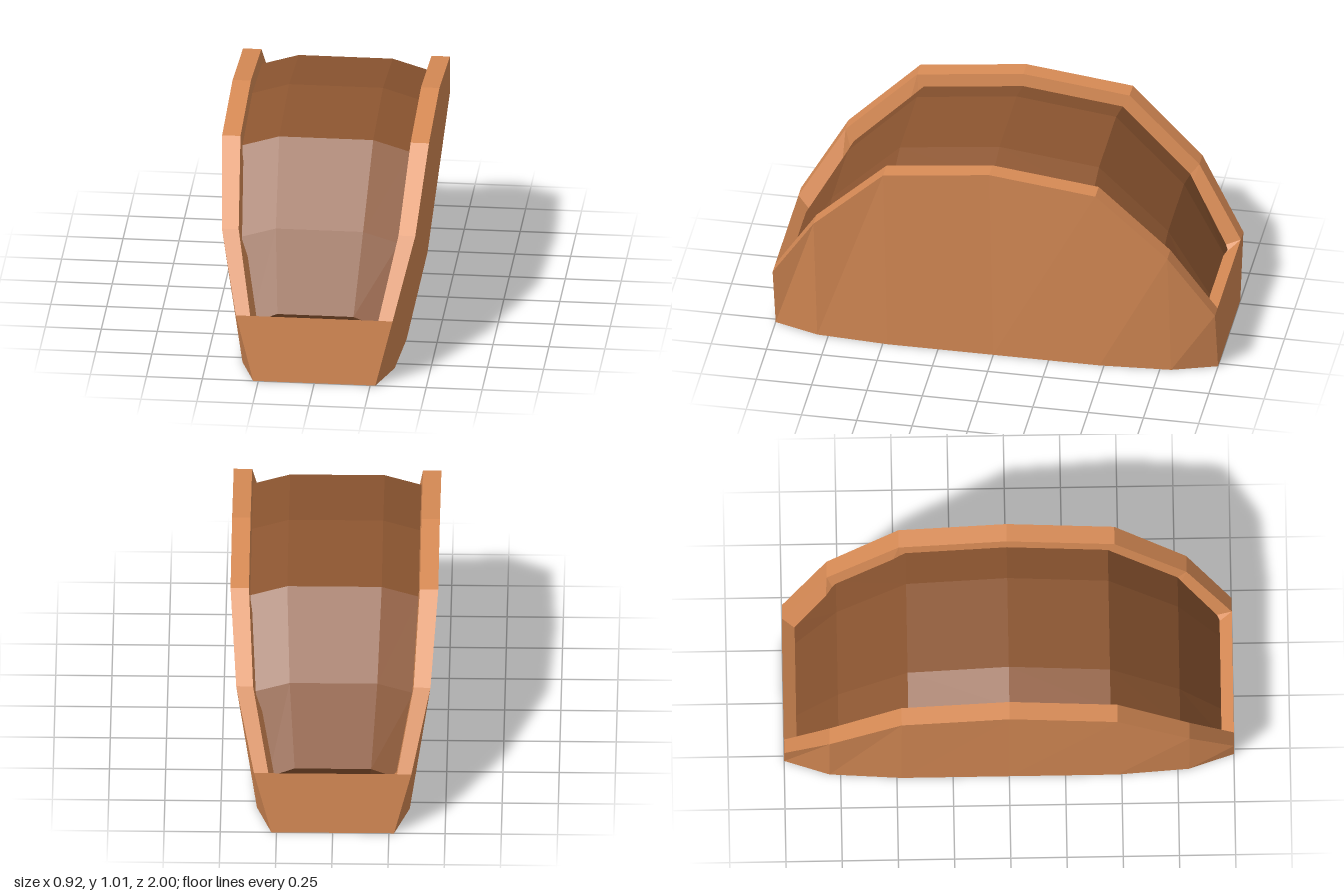
import * as THREE from 'three';

// Flat-shaded geometry from a list of quads, each with corners counter-clockwise
function quadGeometry(quads) {
  const pos = [];
  for (const [a, b, c, d] of quads) pos.push(...a, ...b, ...c, ...a, ...c, ...d);
  const g = new THREE.BufferGeometry();
  g.setAttribute('position', new THREE.Float32BufferAttribute(pos, 3));
  g.computeVertexNormals();
  return g;
}

// Closed loop of points, mirrored in x and z; half runs from the front end to the middle
function ring(half) {
  const back = half.slice(0, -1).reverse().map(([x, y, z]) => [x, y, -z]);
  const side = [...half, ...back];
  return [...side, ...side.slice().reverse().map(([x, y, z]) => [-x, y, z])];
}

// Wall of quads between two loops
function strip(a, b) {
  return a.map((p, i) => {
    const j = (i + 1) % a.length;
    return [p, a[j], b[j], b[i]];
  });
}

// Flat cap across a loop
function cap(r, up) {
  const n = r.length, quads = [];
  for (let i = 0; i < n / 2 - 1; i++) {
    const q = [r[i], r[i + 1], r[n - 2 - i], r[n - 1 - i]];
    quads.push(up ? q : q.reverse());
  }
  return quads;
}

export function createModel() {
  const group = new THREE.Group();
  const shellMat = new THREE.MeshStandardMaterial({ color: 0xd98c56 });
  shellMat.name = 'toasted orange';
  const fillMat = new THREE.MeshStandardMaterial({ color: 0x8c5530 });
  fillMat.name = 'filling brown';

  // Shell: base, outer rim, inner rim and hidden inner floor
  const base = ring([[0.273, 0, 1], [0.34, 0, 0.8], [0.362, 0, 0.48], [0.362, 0, 0]]);
  const outer = ring([[0.35, 0.315, 1], [0.432, 0.645, 0.8], [0.462, 0.957, 0.48], [0.462, 1.015, 0]]);
  const inner = ring([[0.286, 0.315, 1], [0.357, 0.645, 0.8], [0.38, 0.957, 0.48], [0.38, 1.015, 0]]);
  const floor = ring([[0.2, 0.15, 0.82], [0.27, 0.15, 0.66], [0.3, 0.15, 0.42], [0.3, 0.15, 0]]);
  const shell = new THREE.Mesh(quadGeometry([
    ...cap(base, false), ...strip(base, outer), ...strip(outer, inner),
    ...strip(inner, floor), ...cap(floor, true),
  ]), shellMat);
  shell.name = 'shell';
  group.add(shell);

  // Filling: arched sections of z, half width, edge y, flat half width, crown y
  const half = [
    [0.88, 0.26, 0.2, 0.16, 0.2],
    [0.945, 0.285, 0.26, 0.17, 0.305],
    [0.76, 0.355, 0.59, 0.195, 0.638],
    [0.45, 0.378, 0.898, 0.21, 0.949],
    [0, 0.379, 0.953, 0.21, 1.005],
  ];
  const back = half.slice(0, -1).reverse().map(([z, ...rest]) => [-z, ...rest]);
  const rows = [...half, ...back].map(([z, w, e, f, c]) =>
    [[-w, e, z], [-f, c, z], [f, c, z], [w, e, z]]);
  const quads = [];
  for (let r = 0; r < rows.length - 1; r++)
    for (let k = 0; k < 3; k++)
      quads.push([rows[r][k], rows[r][k + 1], rows[r + 1][k + 1], rows[r + 1][k]]);
  const filling = new THREE.Mesh(quadGeometry(quads), fillMat);
  filling.name = 'filling';
  group.add(filling);

  return group;
}
